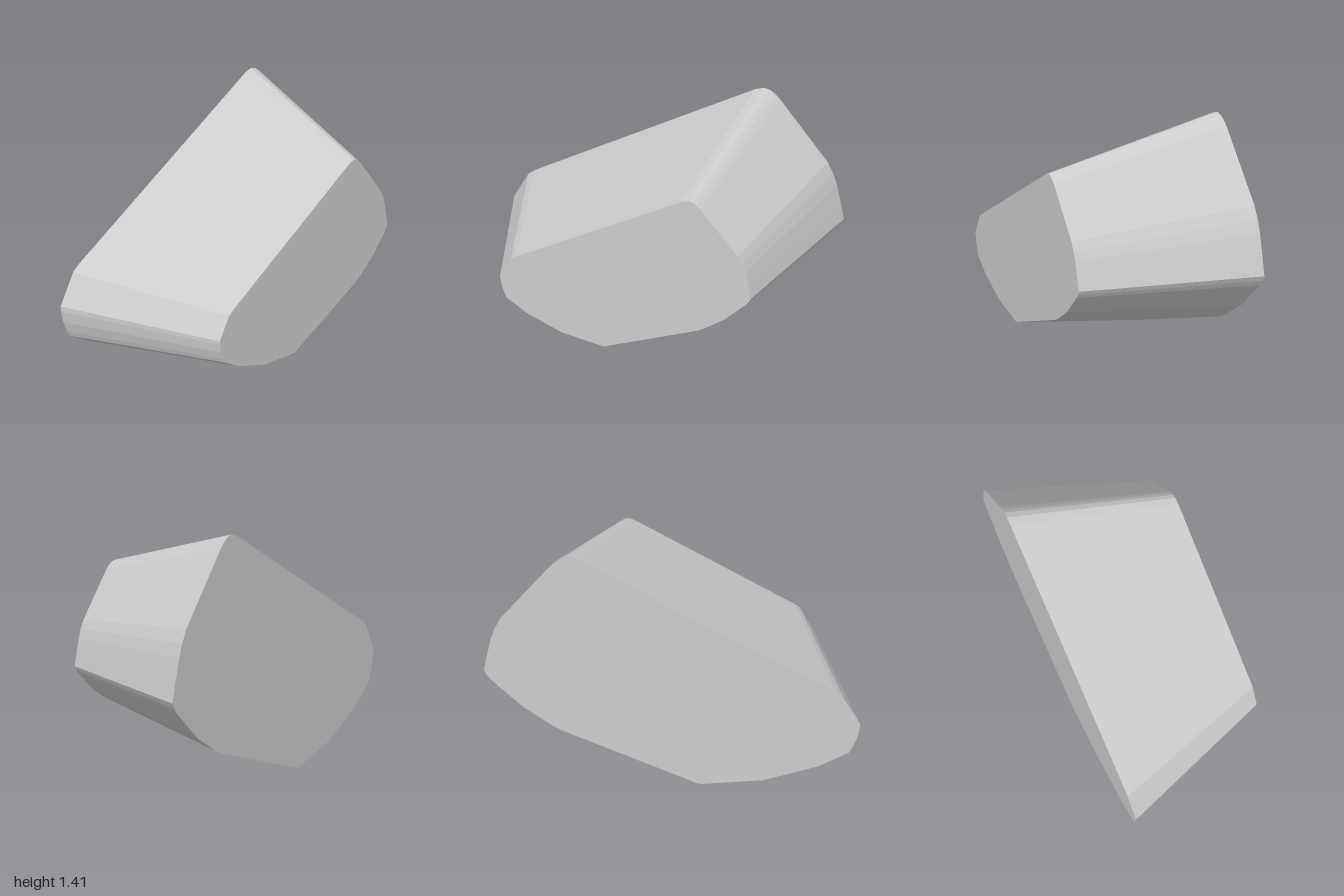
import * as THREE from 'three';

// Rear outline, counter-clockwise seen from the front
const OUTLINE = [
  [-0.165, 0], [-0.14, 0.004], [-0.115, 0.016], [0.6, 0.31], [0.65, 0.34],
  [0.8, 0.45], [0.965, 0.62], [0.985, 0.65], [1, 0.68], [0.975, 0.78],
  [0.945, 0.89], [0.92, 0.955], [0.885, 1.02], [0.6, 1.36], [0.57, 1.388],
  [0.545, 1.405], [0.51, 1.415], [0.46, 1.4], [-0.86, 0.69], [-0.9, 0.66],
  [-1, 0.495], [-1, 0.465], [-0.99, 0.395], [-0.97, 0.33], [-0.955, 0.295],
  [-0.795, 0.185], [-0.645, 0.12], [-0.505, 0.06],
];
const DEPTH = 0.88;
const TAPER = 0.7; // front face size relative to the rear
const SHIFT = { x: -0.015, y: 0.165 };

export function createModel() {
  const group = new THREE.Group();
  group.name = 'taperedBlock';
  const stone = new THREE.MeshStandardMaterial({ color: 0xcccccc });
  stone.name = 'light grey';

  const shape = new THREE.Shape(OUTLINE.map(([x, y]) => new THREE.Vector2(x, y)));
  const geometry = new THREE.ExtrudeGeometry(shape, { depth: DEPTH, bevelEnabled: false });
  geometry.translate(0, 0, -DEPTH / 2);

  // Shrink the front end to form the taper
  const pos = geometry.attributes.position;
  for (let i = 0; i < pos.count; i++) {
    if (pos.getZ(i) > 0) {
      pos.setXY(i, pos.getX(i) * TAPER + SHIFT.x, pos.getY(i) * TAPER + SHIFT.y);
    }
  }
  geometry.computeVertexNormals();

  const block = new THREE.Mesh(geometry, stone);
  block.name = 'block';
  group.add(block);
  return group;
}
